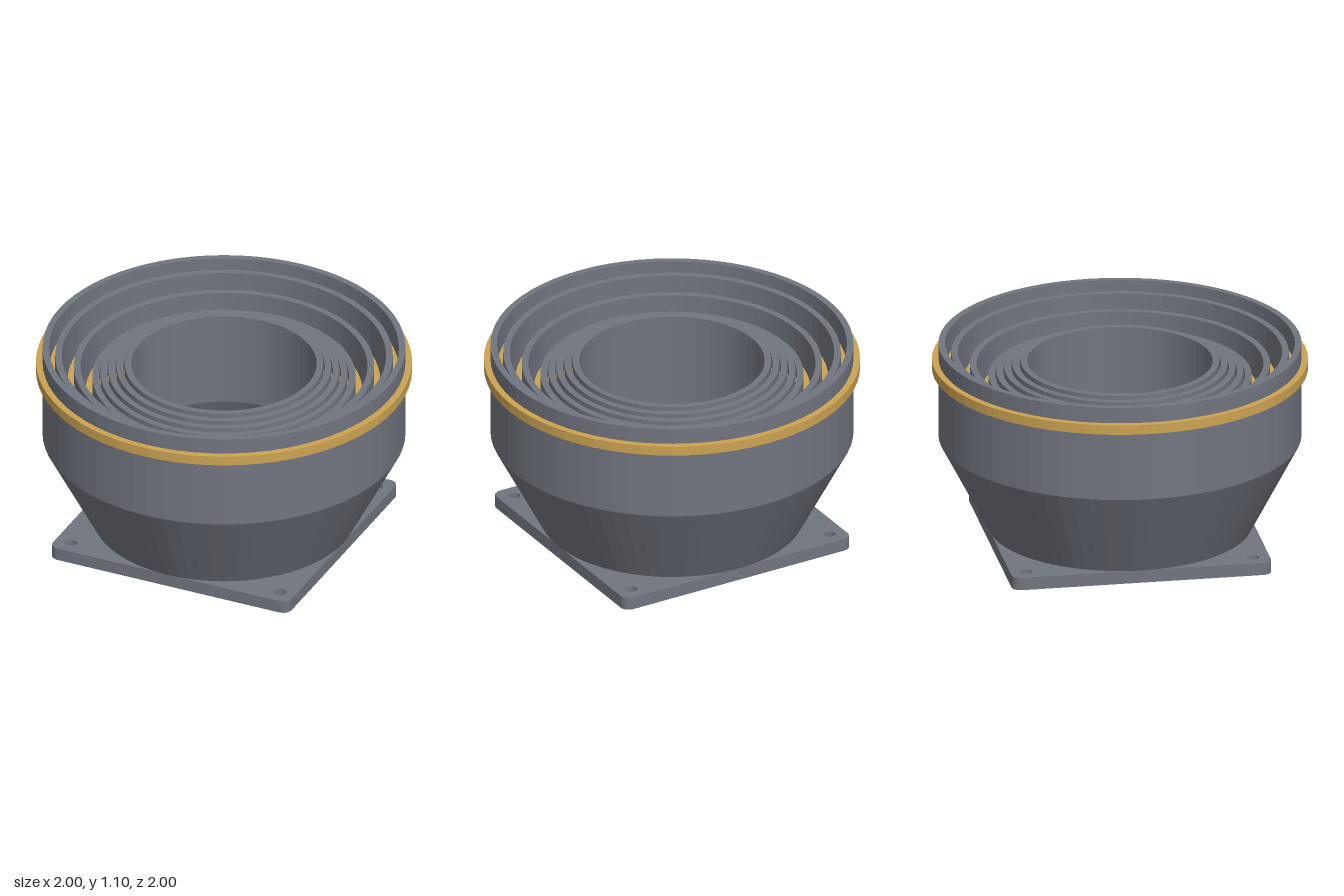
import * as THREE from 'three';

const SEGMENTS = 72;
const PLATE_HALF = 0.7, PLATE_TOP = 0.07, BORE = 0.667, WALL = 0.035;

export function createModel() {
  const model = new THREE.Group();
  const grey = new THREE.MeshStandardMaterial({ color: 0x71757f, flatShading: true });
  grey.name = 'slate grey';
  const gold = new THREE.MeshStandardMaterial({ color: 0xcca352, flatShading: true });
  gold.name = 'gold';

  const add = (name, geometry, material) => {
    const mesh = new THREE.Mesh(geometry, material);
    mesh.name = name;
    model.add(mesh);
    return mesh;
  };
  const lathe = (points) =>
    new THREE.LatheGeometry(points.map(([r, y]) => new THREE.Vector2(r, y)), SEGMENTS);

  // Square mounting plate: rounded corners, large bore, four screw holes
  const h = PLATE_HALF, c = 0.05;
  const plate = new THREE.Shape();
  plate.moveTo(-h + c, -h);
  plate.lineTo(h - c, -h);
  plate.absarc(h - c, -h + c, c, -Math.PI / 2, 0);
  plate.absarc(h - c, h - c, c, 0, Math.PI / 2);
  plate.absarc(-h + c, h - c, c, Math.PI / 2, Math.PI);
  plate.absarc(-h + c, -h + c, c, Math.PI, Math.PI * 1.5);
  const addHole = (x, y, r) => plate.holes.push(new THREE.Path().absarc(x, y, r, 0, Math.PI * 2, true));
  addHole(0, 0, BORE);
  for (const x of [-0.612, 0.612]) for (const y of [-0.612, 0.612]) addHole(x, y, 0.031);
  const plateGeometry = new THREE.ExtrudeGeometry(plate, {
    depth: PLATE_TOP, bevelEnabled: false, curveSegments: 36,
  });
  plateGeometry.rotateX(-Math.PI / 2);
  add('mountingPlate', plateGeometry, grey);

  // Nested ducts: [outer radius, top height, stop ring width]
  const ducts = [
    [0.965, 1.1, 0.035],
    [0.897, 1.05, 0.033],
    [0.798, 0.985, 0.033],
    [0.7, 0.92, 0.036],
    [0.657, 0.94, 0.008],
    [0.614, 0.96, 0.008],
    [0.571, 0.98, 0.008],
    [0.528, 1.0, 0.008],
  ];
  ducts.forEach(([r, top, ringWidth], i) => {
    // Each duct runs from the shared bore through a cone to a straight collar
    const bend = top - 0.525;
    add(`duct${i + 1}`, lathe([
      [BORE, PLATE_TOP], [BORE + WALL, PLATE_TOP],
      [r, bend], [r, top],
      [r - WALL, top], [r - WALL, bend],
      [BORE, PLATE_TOP],
    ]), grey);

    // Stop ring around the collar, just below its rim
    const low = top - 0.14, high = top - 0.087, edge = r + ringWidth;
    add(`stopRing${i + 1}`, lathe([
      [r - 0.005, low], [edge, low], [edge, high], [r - 0.005, high],
    ]), gold);
  });

  return model;
}
